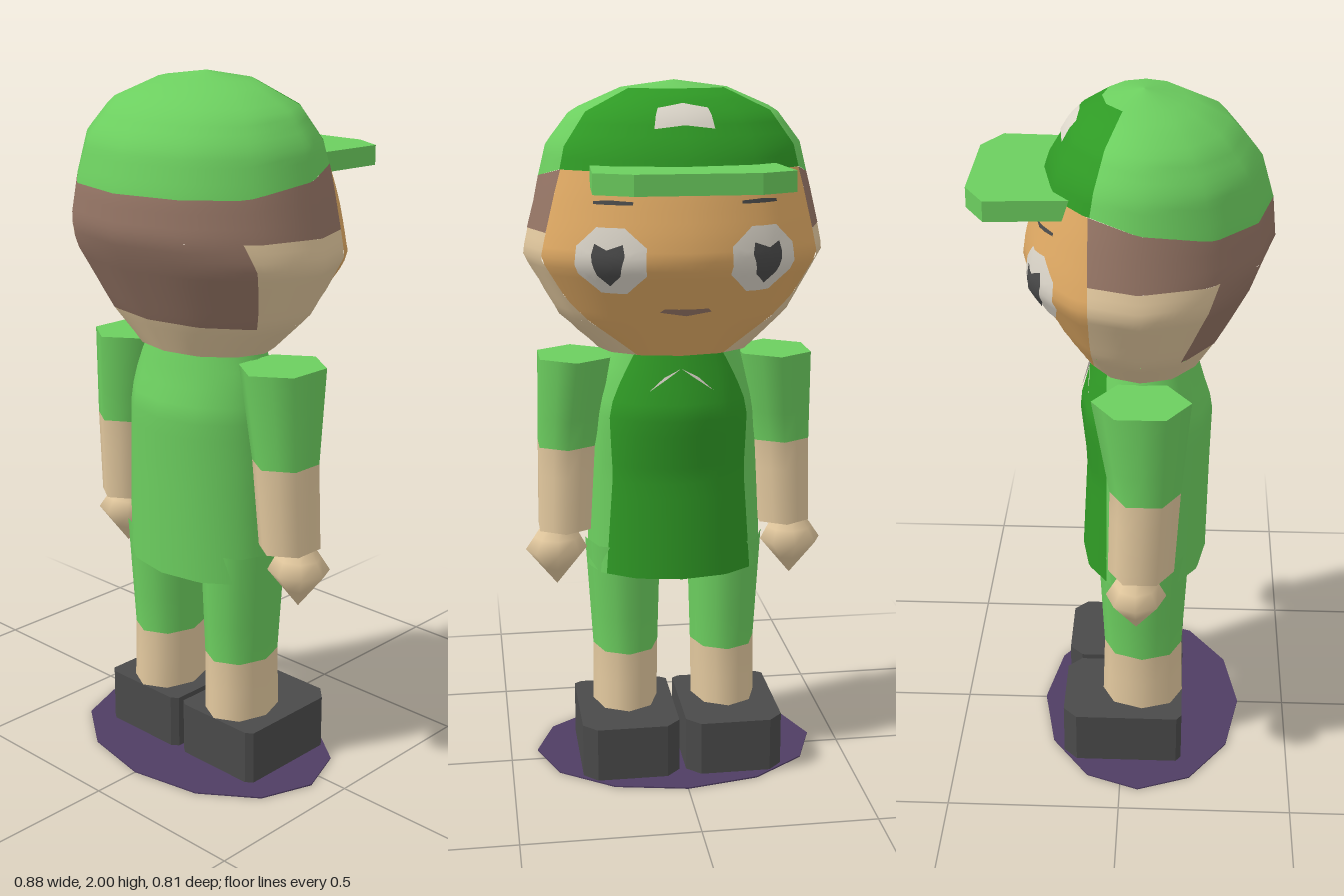
import * as THREE from 'three';

const flat = (name, color) => Object.assign(new THREE.MeshStandardMaterial({ color }), { name });
const M = {
  green: flat('light green', 0x6cce5f),
  dark: flat('dark green', 0x2f9a25),
  hair: flat('brown hair', 0x957565),
  face: flat('warm face', 0xe0aa64),
  skin: flat('pale skin', 0xe2c89e),
  shoe: flat('charcoal', 0x4a4a4a),
  white: flat('off white', 0xdcd6ca),
  base: flat('purple', 0x4f3d63),
};
const { lerp, clamp, degToRad } = THREE.MathUtils;
const val = (f, x) => (typeof f === 'function' ? f(x) : f);

// Surface through n-sided rings [y, centreX, centreZ, halfWidth, backDepth, frontDepth].
// Angle t is in degrees: 0 = +z, 90 = +x, 180 = -z (the face).
function surface(rings, n) {
  const step = 360 / n, y0 = rings[0][0], y1 = rings[rings.length - 1][0];
  const at = (t, y) => {
    y = clamp(y, y0, y1);
    let i = 0;
    while (i < rings.length - 2 && y > rings[i + 1][0]) i++;
    const a = rings[i], b = rings[i + 1], k = (y - a[0]) / (b[0] - a[0]);
    const [, cx, cz, w, back, front] = a.map((v, j) => lerp(v, b[j], k));
    const side = Math.floor(t / step), f = t / step - side;
    const p = degToRad(side * step), q = degToRad((side + 1) * step);
    const s = lerp(Math.sin(p), Math.sin(q), f), c = lerp(Math.cos(p), Math.cos(q), f);
    return new THREE.Vector3(cx + w * s, y, cz + (c > 0 ? back : front) * c);
  };
  const normal = (t, y) => {
    const yc = clamp(y, y0 + 0.006, y1 - 0.006);
    const du = at(t + step / 2, yc).sub(at(t - step / 2, yc));
    const dv = at(t, y + 0.03).sub(at(t, y - 0.03));
    return du.cross(dv).normalize();
  };
  return { at, normal, n };
}

function build(S, pairs, index, offset = 0) {
  const pos = [], nor = [];
  for (const [t, y] of pairs) {
    const m = S.normal(t, y);
    pos.push(...S.at(t, y).addScaledVector(m, offset).toArray());
    nor.push(...m.toArray());
  }
  const g = new THREE.BufferGeometry();
  g.setAttribute('position', new THREE.Float32BufferAttribute(pos, 3));
  g.setAttribute('normal', new THREE.Float32BufferAttribute(nor, 3));
  g.setIndex(index);
  return g;
}

// Region of a surface between two heights and two angles
function patch(S, y0, y1, lo = 0, hi = 360, nu = 36, nv = 10) {
  const pairs = [], index = [];
  for (let j = 0; j <= nv; j++) for (let i = 0; i <= nu; i++) {
    const u = i / nu, tn = lerp(val(lo, 1.74), val(hi, 1.74), u);
    const y = lerp(val(y0, tn), val(y1, tn), j / nv);
    pairs.push([lerp(val(lo, y), val(hi, y), u), y]);
    if (i < nu && j < nv) {
      const a = j * (nu + 1) + i, d = a + nu + 1;
      index.push(a, a + 1, d + 1, a, d + 1, d);
    }
  }
  return build(S, pairs, index);
}

// Painted detail hugging a surface: star-shaped outline [dAngle, dy] around (t, y)
function decal(S, t, y, outline, offset = 0.005) {
  const edge = [], pairs = [[t, y]], index = [], R = 5;
  outline.forEach((p, i) => {
    const q = outline[(i + 1) % outline.length];
    for (let k = 0; k < 3; k++) edge.push([lerp(p[0], q[0], k / 3), lerp(p[1], q[1], k / 3)]);
  });
  const n = edge.length;
  for (let r = 1; r <= R; r++) edge.forEach((e, i) => {
    pairs.push([t + e[0] * r / R, y + e[1] * r / R]);
    const j = (i + 1) % n, a = 1 + (r - 1) * n, b = a - n;
    if (r === 1) index.push(0, a + i, a + j);
    else index.push(b + i, a + i, a + j, b + i, a + j, b + j);
  });
  return build(S, pairs, index, offset);
}
const oval = (rt, ry, n) => Array.from({ length: n }, (_, i) => {
  const a = ((i + 0.5) / n) * Math.PI * 2;
  return [rt * Math.cos(a), ry * Math.sin(a)];
});

// Flat end of a surface
function lid(S, y, up) {
  const pos = [], c = S.at(0, y).add(S.at(180, y)).multiplyScalar(0.5);
  for (let i = 0; i < S.n; i++) {
    const a = S.at(i * 360 / S.n, y), b = S.at((i + 1) * 360 / S.n, y);
    for (const p of up ? [c, a, b] : [c, b, a]) pos.push(...p.toArray());
  }
  const g = new THREE.BufferGeometry();
  g.setAttribute('position', new THREE.Float32BufferAttribute(pos, 3));
  g.computeVertexNormals();
  return g;
}

// Slab from an outline in x and z, with its top at the given height
function slab(points, top, depth) {
  const shape = new THREE.Shape(points.map(p => new THREE.Vector2(...p)));
  return new THREE.ExtrudeGeometry(shape, { depth, bevelEnabled: false }).rotateX(Math.PI / 2).translate(0, top, 0);
}

// Angle on the +x side where the surface reaches depth z
const angleAtZ = (S, z) => y => {
  let a = 90, b = 180;
  for (let i = 0; i < 24; i++) {
    const m = (a + b) / 2;
    if (S.at(m, y).z > z) a = m; else b = m;
  }
  return a;
};

export function createModel() {
  const model = new THREE.Group();
  model.name = 'figure';
  const add = (name, geo, mat) => {
    const m = new THREE.Mesh(geo, mat);
    m.name = name;
    model.add(m);
  };

  // Head, split into hair, skin, face and cap
  const H = surface([
    [1.255, 0, 0.05, 0.22, 0.17, 0.16], [1.355, 0, 0.05, 0.33, 0.23, 0.22],
    [1.53, 0, 0.05, 0.43, 0.325, 0.33], [1.6, 0, 0.05, 0.415, 0.355, 0.32],
    [1.71, 0, 0.05, 0.39, 0.345, 0.29], [1.83, 0, 0.05, 0.36, 0.31, 0.25],
    [1.92, 0, 0.05, 0.29, 0.23, 0.195], [1.98, 0, 0.05, 0.15, 0.11, 0.11],
    [2, 0, 0.05, 0, 0, 0]], 12);
  const T = angleAtZ(H, -0.08), capT = T(1.74);
  const capEdge = t => lerp(1.71, 1.77, clamp((Math.abs(t) - 55) / (capT - 55), 0, 1));
  const hairT = y => lerp(62, 54, (y - 1.355) / 0.245);
  add('nape', patch(H, 1.255, 1.355, y => -T(y), T, 48, 4), M.skin);
  add('lowerHair', patch(H, 1.355, 1.6, y => -hairT(y), hairT, 24), M.hair);
  add('leftCheek', patch(H, 1.355, 1.6, hairT, T, 16), M.skin);
  add('rightCheek', patch(H, 1.355, 1.6, y => -T(y), y => -hairT(y), 16), M.skin);
  add('upperHair', patch(H, 1.6, capEdge, y => -T(y), T, 48, 6), M.hair);
  add('face', patch(H, 1.255, 1.77, T, y => 360 - T(y), 30, 20), M.face);
  add('chinUnderside', lid(H, 1.255, false), M.skin);
  add('capBack', patch(H, capEdge, 1.98, -capT, capT, 48, 14), M.green);
  add('capFront', patch(H, 1.77, 1.98, capT, 360 - capT, 24, 14), M.dark);
  add('capCrown', patch(H, 1.98, 2, 0, 360, 36, 3), M.green);
  add('capPatch', decal(H, 180, 1.907, [[15, -0.03], [15, 0.022], [0, 0.034], [-15, 0.022], [-15, -0.03], [0, -0.02]]), M.white);
  add('capBrim', slab([[-0.25, -0.09], [-0.265, -0.35], [-0.165, -0.405], [0.165, -0.405],
    [0.265, -0.35], [0.25, -0.09]], 1.785, 0.055), M.green);

  // Eyes, brows and mouth
  for (const s of [1, -1]) {
    const t = 180 + 31 * s, n = s > 0 ? 'right' : 'left';
    add(n + 'EyeWhite', decal(H, t, 1.54, oval(16, 0.095, 8)), M.white);
    add(n + 'Pupil', decal(H, t, 1.535, [[7, 0.02], [6, 0.05], [0, 0.035], [-6, 0.05], [-7, 0.02],
      [-5, -0.03], [0, -0.058], [5, -0.03]], 0.009), M.shoe);
    add(n + 'Brow', decal(H, t, 1.69, [[9, -0.004], [9, 0.004], [0, 0.008], [-9, 0.004], [-9, -0.004]]), M.shoe);
  }
  add('mouth', decal(H, 180, 1.395, [[12, 0], [10, 0.01], [-10, 0.01], [-12, 0], [0, -0.01]]), M.hair);

  // Shirt with a darker front and a pointed collar
  const B = surface([
    [0.6, 0, 0.055, 0.26, 0.185, 0.18], [0.9, 0, 0.055, 0.25, 0.19, 0.165],
    [1.09, 0, 0.055, 0.24, 0.195, 0.185], [1.18, 0, 0.055, 0.22, 0.165, 0.16],
    [1.255, 0, 0.055, 0.19, 0.145, 0.14]], 12);
  const F = angleAtZ(B, -0.045);
  add('shirtBack', patch(B, 0.6, 1.255, y => -F(y), F, 48, 14), M.green);
  add('shirtFront', patch(B, 0.6, 1.255, F, y => 360 - F(y), 24, 14), M.dark);
  add('shirtHem', lid(B, 0.6, false), M.green);
  add('shirtTop', lid(B, 1.255, true), M.green);
  add('collar', decal(B, 180, 1.215, [[36, 0.035], [30, -0.015], [24, -0.065], [13, -0.025], [0, -0.09],
    [-13, -0.025], [-24, -0.065], [-30, -0.015], [-36, 0.035]]), M.white);

  for (const s of [1, -1]) {
    const side = s > 0 ? 'left' : 'right';
    // Arm and hand
    const A = surface([[0.72, 0.325 * s, 0.055, 0.085, 0.095, 0.09],
      [0.97, 0.315 * s, 0.065, 0.092, 0.1, 0.095], [1.235, 0.29 * s, 0.055, 0.115, 0.135, 0.135]], 6);
    add(side + 'Forearm', patch(A, 0.72, 0.97, 0, 360, 12, 3), M.skin);
    add(side + 'Sleeve', patch(A, 0.97, 1.235, 0, 360, 12, 3), M.green);
    add(side + 'Shoulder', lid(A, 1.235, true), M.green);
    add(side + 'Wrist', lid(A, 0.72, false), M.skin);
    const hand = surface([[0.545, 0.35 * s, 0.045, 0, 0, 0], [0.655, 0.35 * s, 0.045, 0.09, 0.085, 0.085],
      [0.73, 0.345 * s, 0.045, 0.045, 0.04, 0.04]], 8);
    add(side + 'Hand', patch(hand, 0.545, 0.655, 0, 360, 8, 2), M.skin);
    add(side + 'HandTop', patch(hand, 0.655, 0.73, 0, 360, 8, 2), M.skin);
    // Leg and shoe
    const L = surface([[0.16, 0.15 * s, 0.06, 0.097, 0.12, 0.12],
      [0.345, 0.147 * s, 0.06, 0.097, 0.115, 0.115], [0.68, 0.152 * s, 0.06, 0.112, 0.132, 0.132]], 8);
    add(side + 'Shin', patch(L, 0.16, 0.345, 0, 360, 16, 2), M.skin);
    add(side + 'Trouser', patch(L, 0.345, 0.68, 0, 360, 16, 3), M.green);
    const shoe = [[0.01, 0.165], [0.03, 0.18], [0.275, 0.18], [0.295, 0.165],
      [0.295, -0.135], [0.255, -0.175], [0.05, -0.175], [0.01, -0.135]];
    add(side + 'Shoe', slab(shoe.map(([x, z]) => [x * s, z]), 0.165, 0.16), M.shoe);
  }

  // Ground disc
  const disc = new THREE.CylinderGeometry(1, 1, 0.004, 12).scale(0.42, 1, 0.305).translate(0, 0.002, 0.053);
  add('groundDisc', disc, M.base);
  return model;
}
